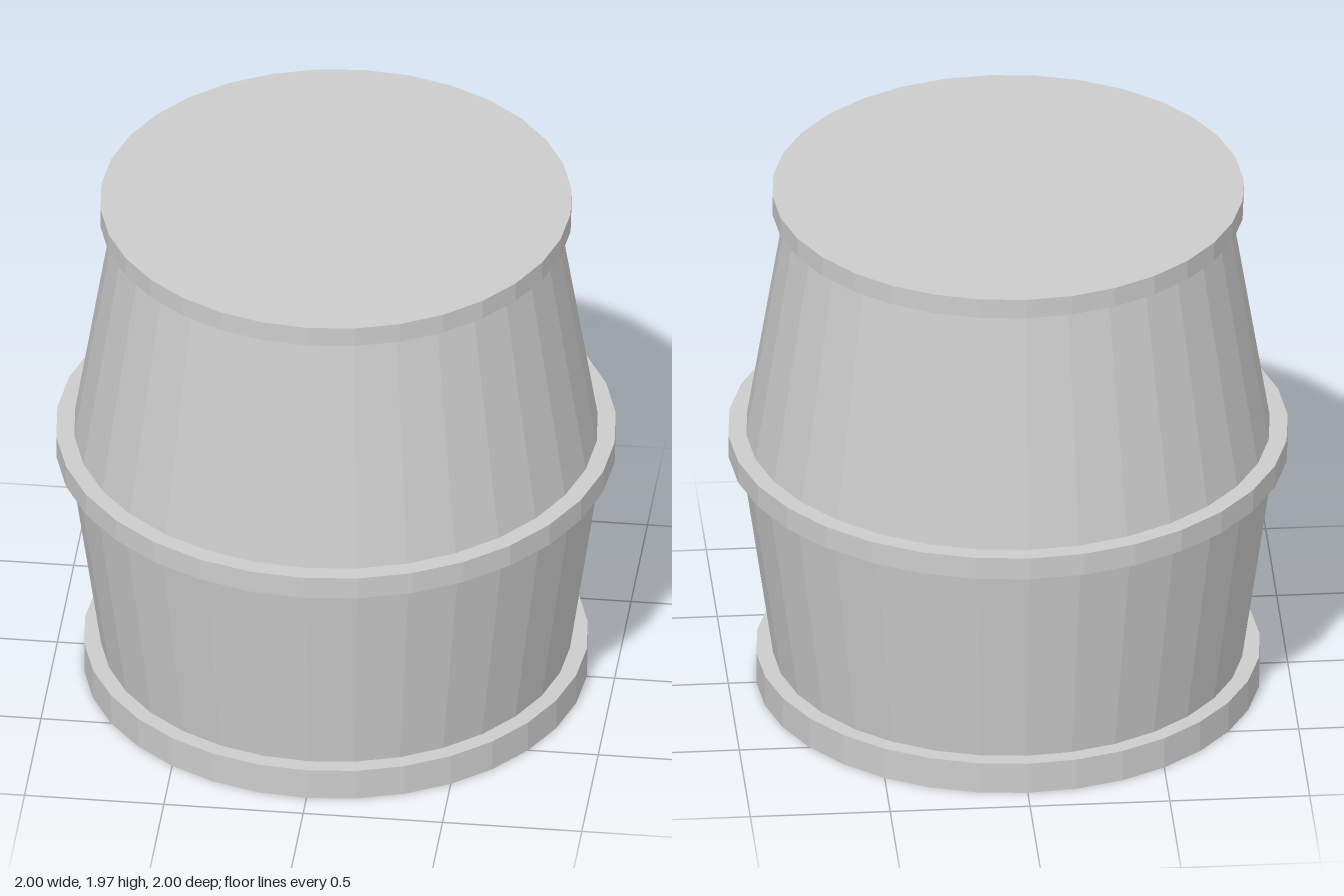
import * as THREE from 'three';

const SIDES = 32;

export function createModel() {
  const barrel = new THREE.Group();
  barrel.name = 'barrel';
  const material = new THREE.MeshStandardMaterial({ color: 0xcccccc, flatShading: true });

  // Round section between two heights, straight or tapered
  function addSection(name, bottom, top, bottomRadius, topRadius = bottomRadius, open = false) {
    const geometry = new THREE.CylinderGeometry(topRadius, bottomRadius, top - bottom, SIDES, 1, open);
    const mesh = new THREE.Mesh(geometry, material);
    mesh.name = name;
    mesh.position.y = (bottom + top) / 2;
    barrel.add(mesh);
  }

  // Tapered walls, their open ends tucked inside the hoops
  addSection('lowerWall', 0.118, 0.96, 0.84, 0.96, true);
  addSection('upperWall', 0.96, 1.893, 0.943, 0.792, true);

  // Base, middle hoop and lid
  addSection('base', 0, 0.118, 0.9);
  addSection('middleHoop', 0.92, 1.005, 1);
  addSection('lid', 1.893, 1.968, 0.842);

  return barrel;
}
